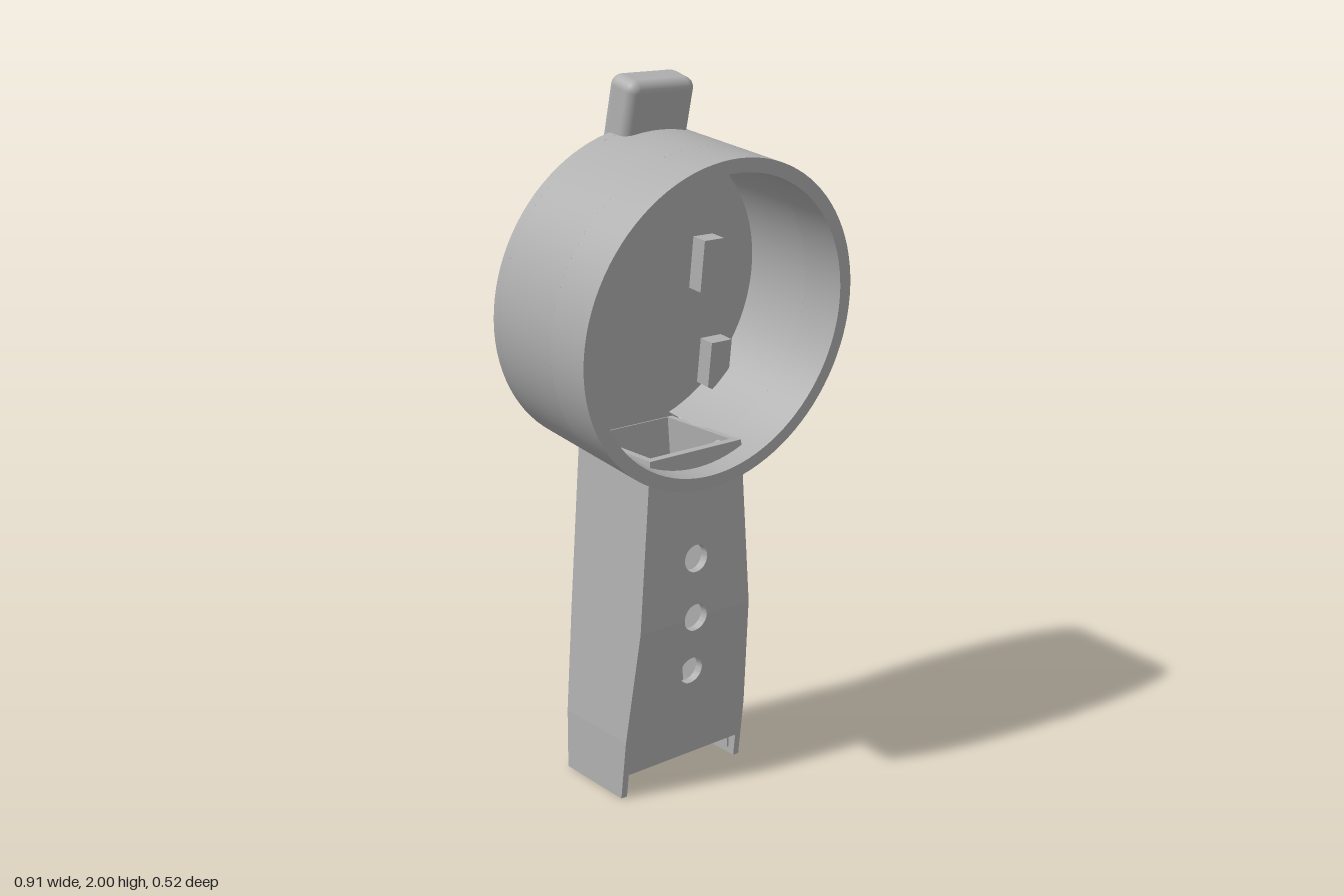
import * as THREE from 'three';
import { toCreasedNormals } from 'three/addons/utils/BufferGeometryUtils.js';
import { RoundedBoxGeometry } from 'three/addons/geometries/RoundedBoxGeometry.js';

const plastic = new THREE.MeshStandardMaterial({ color: 0xb0b0b0 });
const V = (x, y) => new THREE.Vector2(x, y);

function part(parent, name, geometry) {
  const mesh = new THREE.Mesh(geometry, plastic);
  mesh.name = name;
  parent.add(mesh);
  return mesh;
}

// Turned part whose axis runs backwards along -z; profile is [radius, depth]
function turned(profile, start = 0, sweep = Math.PI * 2) {
  const points = profile.map(([r, d]) => V(r, d));
  const g = new THREE.LatheGeometry(points, 96, start, sweep);
  g.rotateX(-Math.PI / 2);
  return toCreasedNormals(g, 0.5);
}

// Flat-faced solid through rectangles [y, x0, x1, zFront, zBack], bottom to top
function loft(rows) {
  const rings = rows.map(([y, x0, x1, zf, zb]) =>
    [[x0, y, zf], [x1, y, zf], [x1, y, zb], [x0, y, zb]]);
  const pos = [];
  const quad = (a, b, c, d) => pos.push(...a, ...b, ...c, ...a, ...c, ...d);
  for (let i = 0; i < rings.length - 1; i++) {
    for (let j = 0; j < 4; j++) {
      const k = (j + 1) % 4;
      quad(rings[i][j], rings[i][k], rings[i + 1][k], rings[i + 1][j]);
    }
  }
  const [a, b, c, d] = rings[0];
  quad(d, c, b, a);
  quad(...rings[rings.length - 1]);
  const g = new THREE.BufferGeometry();
  g.setAttribute('position', new THREE.Float32BufferAttribute(pos, 3));
  g.computeVertexNormals();
  return g;
}

// Handle outline: [y, half width, front z]
const BACK = -0.222, FRONT = 0.095, KINK = 0.515, WALL = 0.02;
const outline = [[0, 0.22, 0.032], [0.18, 0.219, 0.054], [KINK, 0.197, FRONT], [1.005, 0.161, FRONT]];

function frontWall(shape) {
  const t = 0.025;
  const g = new THREE.ExtrudeGeometry(shape, { depth: t, bevelEnabled: false, curveSegments: 16 });
  g.translate(0, 0, FRONT - t);
  // Lean the lower part back towards the foot
  const p = g.attributes.position;
  for (let i = 0; i < p.count; i++) {
    p.setZ(i, p.getZ(i) - Math.max(0, KINK - p.getY(i)) * 0.1223);
  }
  g.computeVertexNormals();
  return toCreasedNormals(g, 0.5);
}

function buildHandle() {
  const handle = new THREE.Group();
  handle.name = 'handle';

  for (const side of [1, -1]) {
    const rows = outline.map(([y, w, z]) => side > 0
      ? [y, w - WALL, w, z, BACK] : [y, -w, -w + WALL, z, BACK]);
    part(handle, 'handleSideWall', loft(rows));
    const ridge = part(handle, 'snapRidge', new THREE.BoxGeometry(0.008, 0.03, 0.1));
    ridge.position.set(side * 0.198, 0.035, -0.04);
  }
  part(handle, 'handleBackWall',
    loft(outline.map(([y, w]) => [y, -w + WALL, w - WALL, BACK + WALL, BACK])));

  // Front wall in two planes, the middle button hole shared between them
  const r = 0.04;
  const inner = outline.map(([y, w]) => [w - WALL, y]);
  const hole = (y) => new THREE.Path().absarc(0, y, r, 0, Math.PI * 2, true);

  const upper = new THREE.Shape();
  upper.moveTo(r, KINK);
  upper.lineTo(...inner[2]);
  upper.lineTo(...inner[3]);
  upper.lineTo(-inner[3][0], inner[3][1]);
  upper.lineTo(-inner[2][0], KINK);
  upper.lineTo(-r, KINK);
  upper.absarc(0, KINK, r, Math.PI, 0, true);
  upper.holes.push(hole(0.692));
  part(handle, 'handleFrontUpper', frontWall(upper));

  const lower = new THREE.Shape();
  lower.moveTo(-0.2, 0.07);
  lower.lineTo(0.2, 0.07);
  lower.lineTo(...inner[1]);
  lower.lineTo(...inner[2]);
  lower.lineTo(r, KINK);
  lower.absarc(0, KINK, r, 0, -Math.PI, true);
  lower.lineTo(-inner[2][0], KINK);
  lower.lineTo(-inner[1][0], inner[1][1]);
  lower.holes.push(hole(0.347));
  part(handle, 'handleFrontLower', frontWall(lower));
  return handle;
}

function buildHead() {
  const head = new THREE.Group();
  head.name = 'head';
  const R = 0.455, r = 0.417, floor = 0.365, depth = 0.395, gap = 0.36;
  const ring = (d0, d1) => [[R, d0], [R, d1], [r, d1], [r, d0], [R, d0]];

  // Drum wall, left open at the bottom where the handle enters
  part(head, 'drumRim', turned(ring(0, 0.14)));
  part(head, 'drumWall', turned(ring(0.14, floor), Math.PI + gap, 2 * (Math.PI - gap)));
  part(head, 'drumBack', turned([[0, floor], [R, floor], [R, depth], [0, depth]]));

  // Shallow dome on the back
  const domeR = 0.345, rise = 0.07;
  const ball = (domeR * domeR + rise * rise) / (2 * rise);
  const dome = [];
  for (let i = 0; i <= 12; i++) {
    const a = Math.asin(domeR / ball) * (1 - i / 12);
    dome.push([ball * Math.sin(a), depth + rise - ball * (1 - Math.cos(a))]);
  }
  part(head, 'backDome', turned(dome));

  // Mounting tabs on the floor of the drum
  const tabs = [
    [V(0.185, -0.02), V(0.255, -0.02), V(0.255, 0.13), V(0.185, 0.13)],
    [V(0.245, -0.315), V(0.265, -0.325), V(0.32, -0.27), V(0.32, -0.18), V(0.245, -0.18)],
  ];
  for (const points of tabs) {
    const g = new THREE.ExtrudeGeometry(new THREE.Shape(points), { depth: 0.05, bevelEnabled: false });
    for (const side of [1, -1]) {
      const tab = part(head, 'mountingTab', g);
      tab.position.z = -floor;
      tab.scale.x = side;
    }
  }

  head.position.set(0, 1.3625, 0.205);
  head.rotation.x = 0.1205;
  return head;
}

export function createModel() {
  const model = new THREE.Group();
  model.name = 'handheldHolder';
  model.add(buildHandle(), buildHead());

  // Rounded clip leaning over the top of the drum
  const clip = part(model, 'topClip', new RoundedBoxGeometry(0.22, 0.285, 0.11, 5, 0.03));
  clip.position.set(0, 1.855, -0.118);
  clip.rotation.x = 0.24;
  return model;
}
